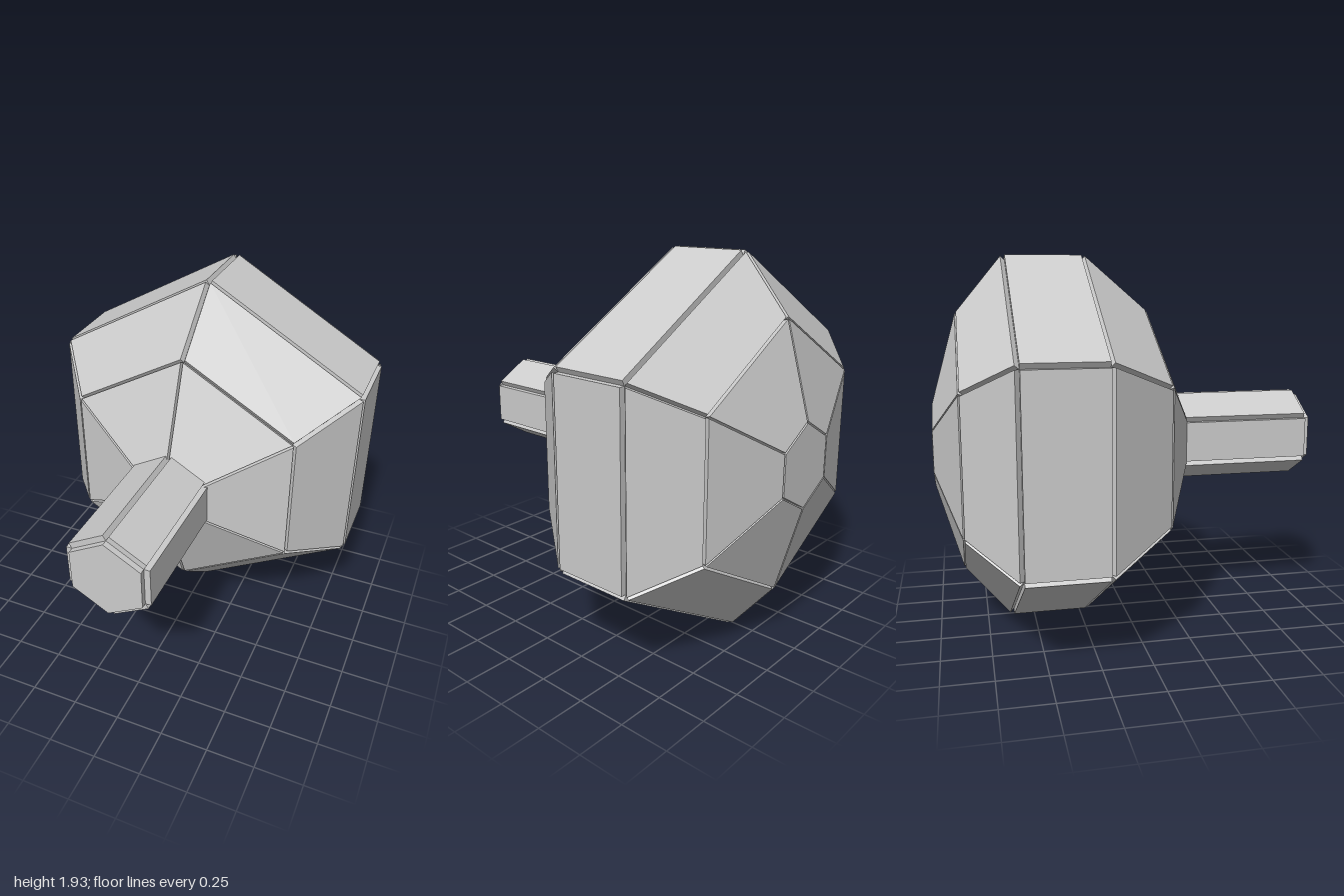
import * as THREE from 'three';
import { mergeGeometries } from 'three/addons/utils/BufferGeometryUtils.js';

const SIDES = 6;
const THICKNESS = 0.03; // how far every panel is raised from the core
const CENTRE_Y = 0.967;

// Hexagonal cross-sections of the core, front to back: [z, apothem]
const RINGS = [
  [0.97, 0.18],
  [0.285, 0.18],
  [0.103, 0.575],
  [-0.218, 0.814],
  [-0.61, 0.814],
  [-0.84, 0.575],
  [-0.97, 0.18],
];
const BANDS = ['handleSides', 'frontInnerSlope', 'frontOuterSlope', 'middleBand', 'backOuterSlope', 'backInnerSlope'];

// Corner k of a ring, with a point of the hexagon at the top
function corner([z, apothem], k) {
  const angle = ((k - 0.5) * 2 * Math.PI) / SIDES;
  const radius = apothem / Math.cos(Math.PI / SIDES);
  return new THREE.Vector3(radius * Math.cos(angle), radius * Math.sin(angle), z);
}

// A flat polygon raised along its own normal, with straight side walls
function panel(base) {
  const normal = new THREE.Triangle(base[0], base[1], base[2]).getNormal(new THREE.Vector3());
  const top = base.map((p) => p.clone().addScaledVector(normal, THICKNESS));
  const points = [];
  for (let i = 1; i < top.length - 1; i++) points.push(top[0], top[i], top[i + 1]);
  for (let i = 0; i < base.length; i++) {
    const j = (i + 1) % base.length;
    points.push(base[i], base[j], top[j], base[i], top[j], top[i]);
  }
  const geometry = new THREE.BufferGeometry().setFromPoints(points);
  geometry.computeVertexNormals();
  return geometry;
}

export function createModel() {
  const group = new THREE.Group();
  group.name = 'hexagonalMallet';
  const material = new THREE.MeshStandardMaterial({ color: 0xcccccc, flatShading: true });

  const add = (name, geometry) => {
    const mesh = new THREE.Mesh(geometry, material);
    mesh.name = name;
    mesh.position.y = CENTRE_Y;
    group.add(mesh);
  };

  const sides = Array.from({ length: SIDES }, (_, k) => k);

  // Six panels around each band
  BANDS.forEach((name, i) => {
    const front = RINGS[i];
    const back = RINGS[i + 1];
    add(name, mergeGeometries(sides.map((k) =>
      panel([corner(front, k), corner(back, k), corner(back, k + 1), corner(front, k + 1)]))));
  });

  // End plates
  add('handleEnd', panel(sides.map((k) => corner(RINGS[0], k))));
  add('backPlate', panel(sides.map((k) => corner(RINGS[RINGS.length - 1], -k))));

  return group;
}
